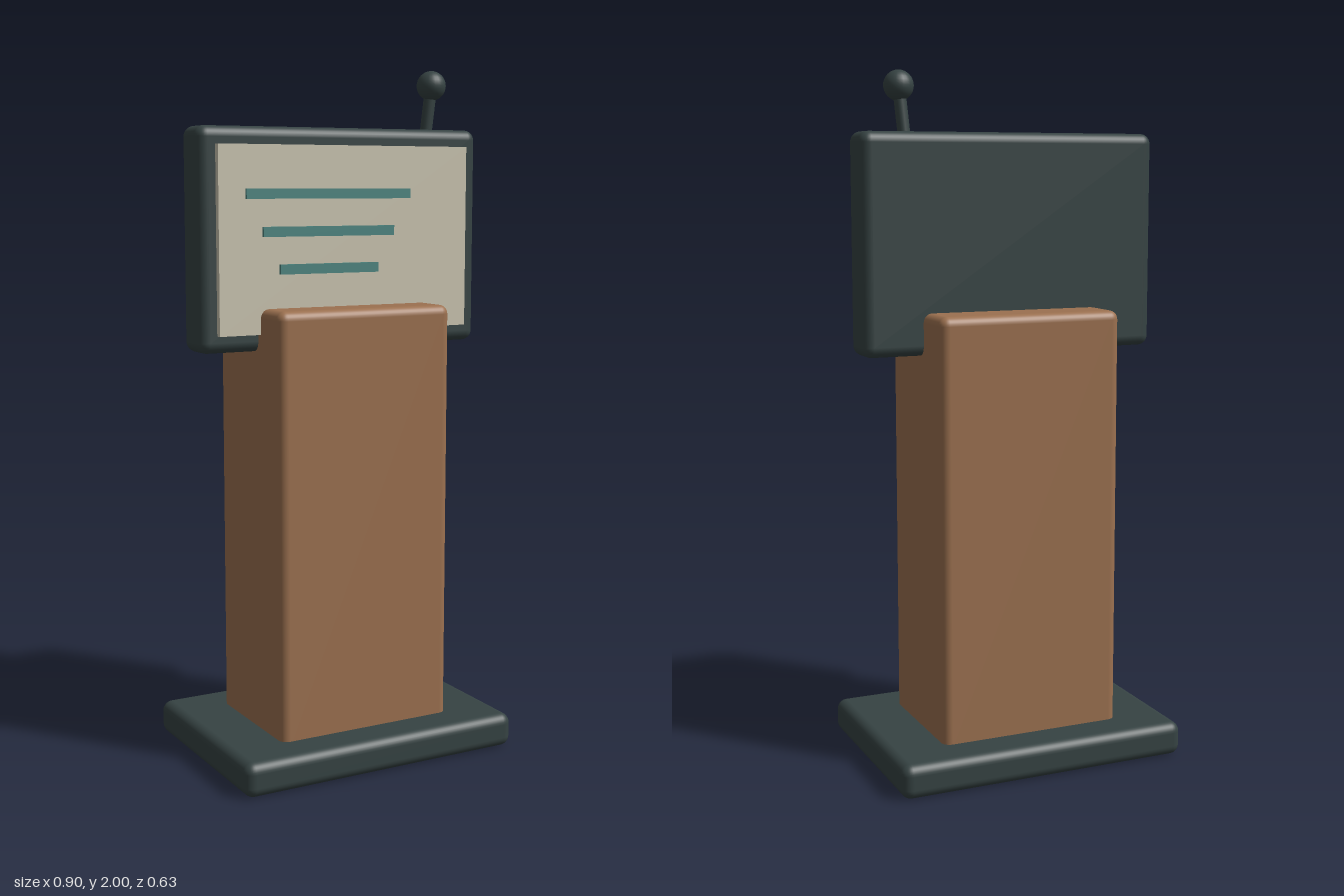
import * as THREE from 'three';
import { RoundedBoxGeometry } from 'three/addons/geometries/RoundedBoxGeometry.js';

const material = (name, color) => {
  const m = new THREE.MeshStandardMaterial({ color });
  m.name = name;
  return m;
};

export function createModel() {
  const group = new THREE.Group();
  group.name = 'lectern';
  const dark = material('dark slate', 0x364343);
  const wood = material('wood', 0x9c7150);
  const cream = material('cream', 0xcbc5b1);
  const teal = material('teal', 0x4c8580);

  const add = (name, geometry, mat, x, y, z) => {
    const mesh = new THREE.Mesh(geometry, mat);
    mesh.name = name;
    mesh.position.set(x, y, z);
    group.add(mesh);
    return mesh;
  };

  // Foot plate, pedestal and display housing
  add('base', new RoundedBoxGeometry(0.88, 0.1, 0.626, 4, 0.03), dark, 0, 0.05, 0);
  add('column', new RoundedBoxGeometry(0.552, 1.265, 0.4, 4, 0.026), wood, 0, 0.693, 0);
  add('panelHousing', new RoundedBoxGeometry(0.904, 0.626, 0.124, 4, 0.03), dark, 0, 1.517, 0);

  // Front sheet with centred lines of decreasing length
  add('panelFace', new THREE.BoxGeometry(0.804, 0.526, 0.02), cream, 0, 1.517, 0.07);
  [[-0.058, 0.526], [-0.06, 0.42], [-0.06, 0.315]].forEach(([x, width], i) => {
    add('panelLine' + (i + 1), new THREE.BoxGeometry(width, 0.028, 0.009), teal, x, 1.645 - i * 0.105, 0.0845);
  });

  // Leaning microphone
  const foot = new THREE.Vector3(0.299, 1.8, 0.013);
  const tip = new THREE.Vector3(0.312, 1.957, 0.025);
  const axis = tip.clone().sub(foot);
  const middle = foot.clone().add(tip).multiplyScalar(0.5);
  const stem = add('microphoneStem', new THREE.CylinderGeometry(0.018, 0.018, axis.length(), 16), dark, ...middle);
  stem.quaternion.setFromUnitVectors(new THREE.Vector3(0, 1, 0), axis.normalize());
  add('microphoneHead', new THREE.SphereGeometry(0.043, 24, 16), dark, ...tip);

  return group;
}
